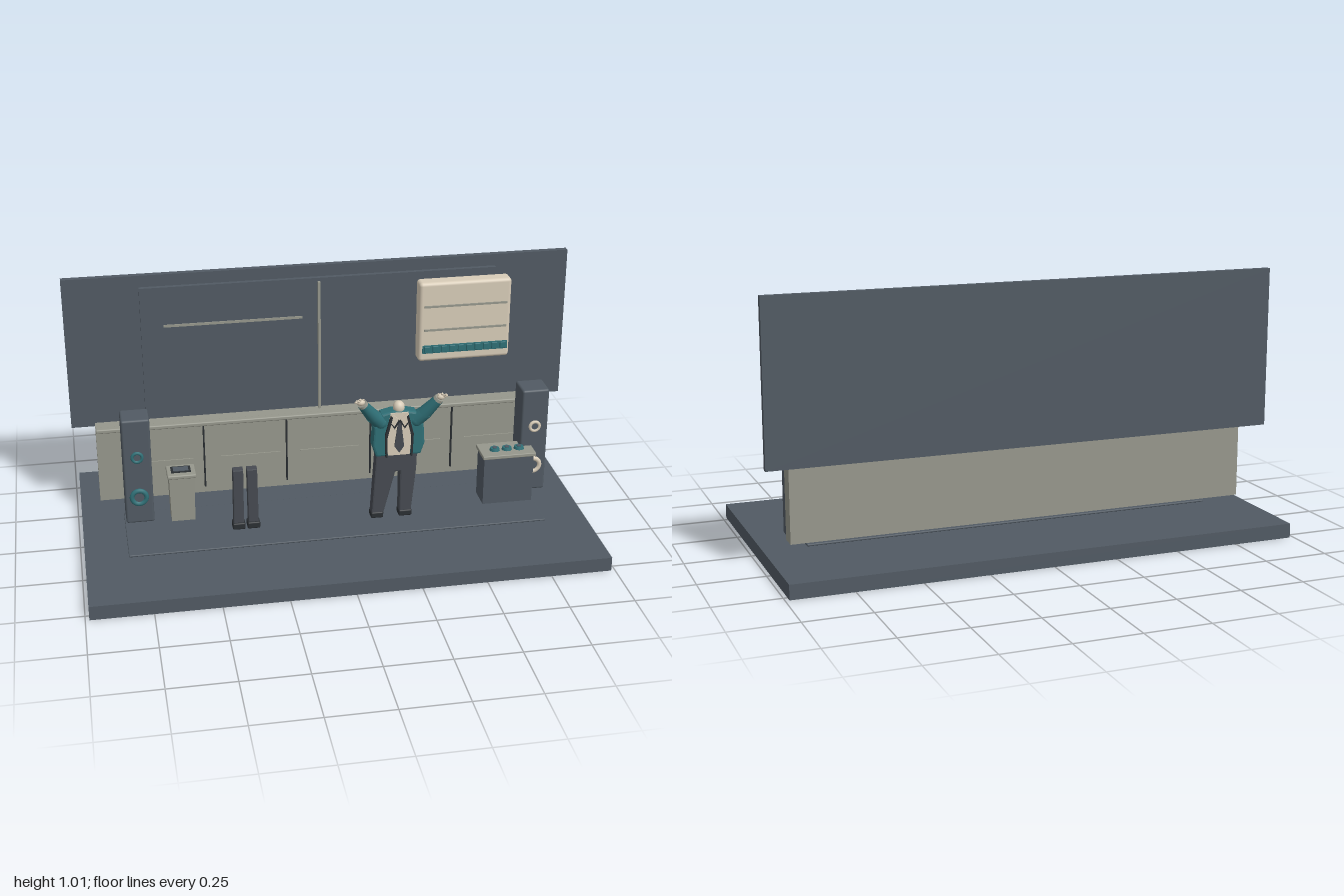
import * as THREE from 'three';
import { RoundedBoxGeometry } from 'three/addons/geometries/RoundedBoxGeometry.js';

const mat = (name, color) => Object.assign(new THREE.MeshStandardMaterial({ color }), { name });

export function createModel() {
  const slate = mat('slate', 0x515a63), grey = mat('warm grey', 0x96978c), cream = mat('cream', 0xd8ccb8);
  const teal = mat('teal', 0x2f6f76), dark = mat('charcoal', 0x2b2f33), cloth = mat('trouser grey', 0x464a51);
  const root = new THREE.Group();
  root.name = 'stageScene';

  const group = (name) => {
    const g = new THREE.Group();
    g.name = name;
    root.add(g);
    return g;
  };
  const add = (parent, name, geo, material, x = 0, y = 0, z = 0) => {
    const m = new THREE.Mesh(geo, material);
    m.name = name;
    m.position.set(x, y, z);
    parent.add(m);
    return m;
  };
  // Box given by its limits; a radius rounds the edges
  const box = (parent, name, material, [x0, x1], [y0, y1], [z0, z1], r = 0) => {
    const s = [x1 - x0, y1 - y0, z1 - z0];
    const geo = r ? new RoundedBoxGeometry(...s, 3, r) : new THREE.BoxGeometry(...s);
    return add(parent, name, geo, material, (x0 + x1) / 2, (y0 + y1) / 2, (z0 + z1) / 2);
  };
  // Flat outline in x and y, extruded from z0 to z1
  const plate = (parent, name, material, pts, z0, z1, bevel = 0) => {
    const shape = new THREE.Shape(pts.map(([x, y]) => new THREE.Vector2(x, y)));
    const geo = new THREE.ExtrudeGeometry(shape, {
      depth: z1 - z0 - 2 * bevel, bevelEnabled: bevel > 0, bevelSize: bevel,
      bevelThickness: bevel, bevelOffset: -bevel, bevelSegments: 2,
    });
    return add(parent, name, geo, material, 0, 0, z0 + bevel);
  };
  // Tapered limb between two points
  const limb = (parent, name, material, a, b, ra, rb) => {
    const p = new THREE.Vector3(...a), q = new THREE.Vector3(...b), d = q.clone().sub(p);
    const m = add(parent, name, new THREE.CylinderGeometry(rb, ra, d.length(), 12), material);
    m.position.copy(p.add(q).multiplyScalar(0.5));
    m.quaternion.setFromUnitVectors(new THREE.Vector3(0, 1, 0), d.normalize());
    return m;
  };

  // Floor and backdrop
  const stage = group('stage');
  box(stage, 'floorSlab', slate, [-0.985, 0.985], [0, 0.056], [-0.53, 0.53]);
  box(stage, 'floorMat', slate, [-0.82, 0.82], [0.056, 0.064], [-0.137, 0.208], 0.003);
  box(stage, 'backWall', slate, [-1, 1], [0.394, 1.014], [-0.287, -0.263]);
  box(stage, 'wallPanel', slate, [-0.707, 0.702], [0.4, 0.967], [-0.263, -0.245]);
  box(stage, 'wallRail', grey, [-0.62, -0.075], [0.803, 0.813], [-0.245, -0.241]);
  box(stage, 'wallPost', grey, [-0.016, -0.006], [0.415, 0.956], [-0.237, -0.223]);

  // Long counter with seams
  const counter = group('counter');
  box(counter, 'counterBody', grey, [-0.908, 0.908], [0.105, 0.417], [-0.245, -0.178]);
  box(counter, 'counterLip', grey, [-0.908, 0.908], [0.411, 0.428], [-0.178, -0.15], 0.005);
  for (const x of [-0.487, -0.155, 0.187, 0.524])
    box(counter, 'counterSeam', dark, [x - 0.003, x + 0.003], [0.133, 0.407], [-0.178, -0.169]);
  for (const x of [-0.65, -0.3, 0.02, 0.36, 0.7])
    box(counter, 'drawerLine', grey, [x - 0.12, x + 0.12], [0.259, 0.262], [-0.178, -0.173]);

  // Wall cabinet with shelf lines and a row of pegs
  const cabinet = group('wallCabinet');
  box(cabinet, 'cabinetBody', cream, [0.38, 0.752], [0.608, 0.94], [-0.245, -0.178], 0.014);
  for (const y of [0.743, 0.842])
    box(cabinet, 'shelfLine', grey, [0.4, 0.735], [y - 0.004, y + 0.004], [-0.18, -0.173]);
  box(cabinet, 'pegStrip', teal, [0.395, 0.742], [0.645, 0.678], [-0.18, -0.173]);
  for (let i = 0; i < 10; i++) {
    const x = 0.413 + i * 0.0345;
    box(cabinet, 'peg', teal, [x - 0.012, x + 0.012], [0.648, 0.676], [-0.175, -0.167], 0.003);
  }

  // Pair of tower speakers
  const towers = [[-0.76, teal, 'rightSpeaker'], [0.825, cream, 'leftSpeaker']];
  for (const [x, ringColor, name] of towers) {
    const s = group(name);
    box(s, 'speakerCase', slate, [x - 0.055, x + 0.055], [0.08, 0.523], [-0.121, -0.014], 0.009);
    for (const [y, r] of [[0.367, 0.019], [0.195, 0.028]]) {
      add(s, 'speakerRing', new THREE.TorusGeometry(r, r * 0.34, 10, 28), ringColor, x, y, -0.01);
      const cone = add(s, 'speakerCone', new THREE.CylinderGeometry(r * 0.75, r * 0.75, 0.006, 24), slate, x, y, -0.011);
      cone.rotation.x = Math.PI / 2;
    }
  }

  // Tapered bin with a dark opening
  const bin = group('bin');
  const binGeo = new THREE.BoxGeometry(0.1, 0.19, 0.085);
  const bp = binGeo.attributes.position;
  for (let i = 0; i < bp.count; i++)
    if (bp.getY(i) < 0) bp.setXYZ(i, bp.getX(i) * 0.92, bp.getY(i), bp.getZ(i) * 0.92);
  binGeo.computeVertexNormals();
  add(bin, 'binBody', binGeo, grey, -0.593, 0.178, -0.037);
  box(bin, 'binLid', grey, [-0.649, -0.537], [0.269, 0.285], [-0.086, 0.011], 0.005);
  box(bin, 'binOpening', dark, [-0.632, -0.555], [0.283, 0.288], [-0.066, -0.015]);
  box(bin, 'binTray', slate, [-0.623, -0.564], [0.286, 0.29], [-0.058, -0.023]);

  // Standing pair of tall boots
  const boots = group('boots');
  for (const x of [-0.383, -0.325]) {
    const s = x < -0.35 ? -1 : 1;
    plate(boots, 'bootShaft', cloth, [[x - 0.02, 0.075], [x + 0.02, 0.075], [x + 0.02 - s * 0.002, 0.32], [x - 0.02 - s * 0.002, 0.32]], 0.04, 0.075, 0.003);
    box(boots, 'bootFoot', dark, [x - 0.025, x + 0.025], [0.064, 0.092], [0.038, 0.083], 0.006);
  }

  // Control box with three knobs
  const desk = group('controlBox');
  box(desk, 'controlBody', slate, [0.607, 0.81], [0.064, 0.268], [-0.055, 0.046]);
  box(desk, 'controlTop', grey, [0.6, 0.817], [0.266, 0.281], [-0.064, 0.056], 0.003);
  for (const x of [0.66, 0.71, 0.76]) {
    add(desk, 'knob', new THREE.CylinderGeometry(0.018, 0.021, 0.01, 20), teal, x, 0.286, 0.001);
    add(desk, 'knobCap', new THREE.CylinderGeometry(0.009, 0.009, 0.004, 16), slate, x, 0.292, 0.001);
  }

  // Performer with raised arms, built around its own middle line
  const man = group('performer');
  man.position.x = 0.243;
  plate(man, 'trousers', cloth, [[-0.084, 0.345], [-0.1, 0.08], [-0.053, 0.075], [-0.006, 0.262], [0.012, 0.262],
    [0.012, 0.075], [0.06, 0.084], [0.078, 0.27], [0.08, 0.345], [0.06, 0.365], [-0.06, 0.365]], 0.037, 0.082, 0.006);
  for (const [x0, x1] of [[-0.102, -0.052], [0.01, 0.063]])
    box(man, 'shoe', dark, [x0, x1], [0.064, 0.09], [0.04, 0.086], 0.006);
  plate(man, 'jacket', teal, [[-0.068, 0.525], [-0.098, 0.47], [-0.103, 0.39], [-0.088, 0.345], [0.088, 0.345],
    [0.103, 0.39], [0.098, 0.47], [0.068, 0.525], [0.025, 0.535], [-0.025, 0.535]], 0.05, 0.106, 0.008);
  plate(man, 'shirtFront', cream, [[-0.035, 0.53], [-0.05, 0.43], [-0.043, 0.35], [0.043, 0.35], [0.05, 0.43], [0.035, 0.53]], 0.103, 0.109);
  plate(man, 'tie', cloth, [[-0.011, 0.495], [-0.008, 0.475], [-0.019, 0.39], [0, 0.362], [0.019, 0.39], [0.008, 0.475], [0.011, 0.495]], 0.108, 0.115);
  for (const s of [-1, 1]) {
    plate(man, 'jacketEdge', dark, [[s * 0.035, 0.52], [s * 0.056, 0.44], [s * 0.053, 0.345], [s * 0.046, 0.345], [s * 0.047, 0.43], [s * 0.027, 0.515]], 0.104, 0.116);
    plate(man, 'collar', cream, [[s * 0.004, 0.505], [s * 0.03, 0.528], [s * 0.036, 0.495], [s * 0.02, 0.475]], 0.108, 0.114);
    plate(man, 'collarEdge', dark, [[s * 0.003, 0.503], [s * 0.02, 0.473], [s * 0.037, 0.493], [s * 0.033, 0.485], [s * 0.02, 0.465], [0, 0.495]], 0.108, 0.116);

    // Arm, cuff and open hand
    add(man, 'shoulder', new THREE.SphereGeometry(0.031, 14, 10), teal, s * 0.07, 0.487, 0.083);
    limb(man, 'upperArm', teal, [s * 0.07, 0.487, 0.083], [s * 0.108, 0.525, 0.1], 0.031, 0.027);
    limb(man, 'forearm', teal, [s * 0.1, 0.517, 0.097], [s * 0.148, 0.582, 0.122], 0.028, 0.02);
    limb(man, 'cuff', grey, [s * 0.145, 0.579, 0.121], [s * 0.151, 0.588, 0.124], 0.021, 0.019);
    const palm = add(man, 'palm', new THREE.SphereGeometry(0.015, 12, 8), cream, s * 0.156, 0.595, 0.128);
    palm.scale.set(1.1, 0.85, 0.9);
    for (const [dx, dy, dz] of [[0.024, 0.006, 0.01], [0.018, 0.015, 0.016], [0.004, 0.017, 0.008], [-0.012, 0.013, 0.002]])
      limb(man, 'finger', cream, [s * 0.156, 0.595, 0.128], [s * (0.156 + dx), 0.595 + dy, 0.128 + dz], 0.006, 0.004);
  }
  limb(man, 'neck', cream, [0.002, 0.51, 0.08], [0.002, 0.54, 0.08], 0.016, 0.015);
  const head = add(man, 'head', new THREE.SphereGeometry(0.023, 18, 14), cream, 0.002, 0.543, 0.083);
  head.scale.y = 1.15;

  return root;
}
